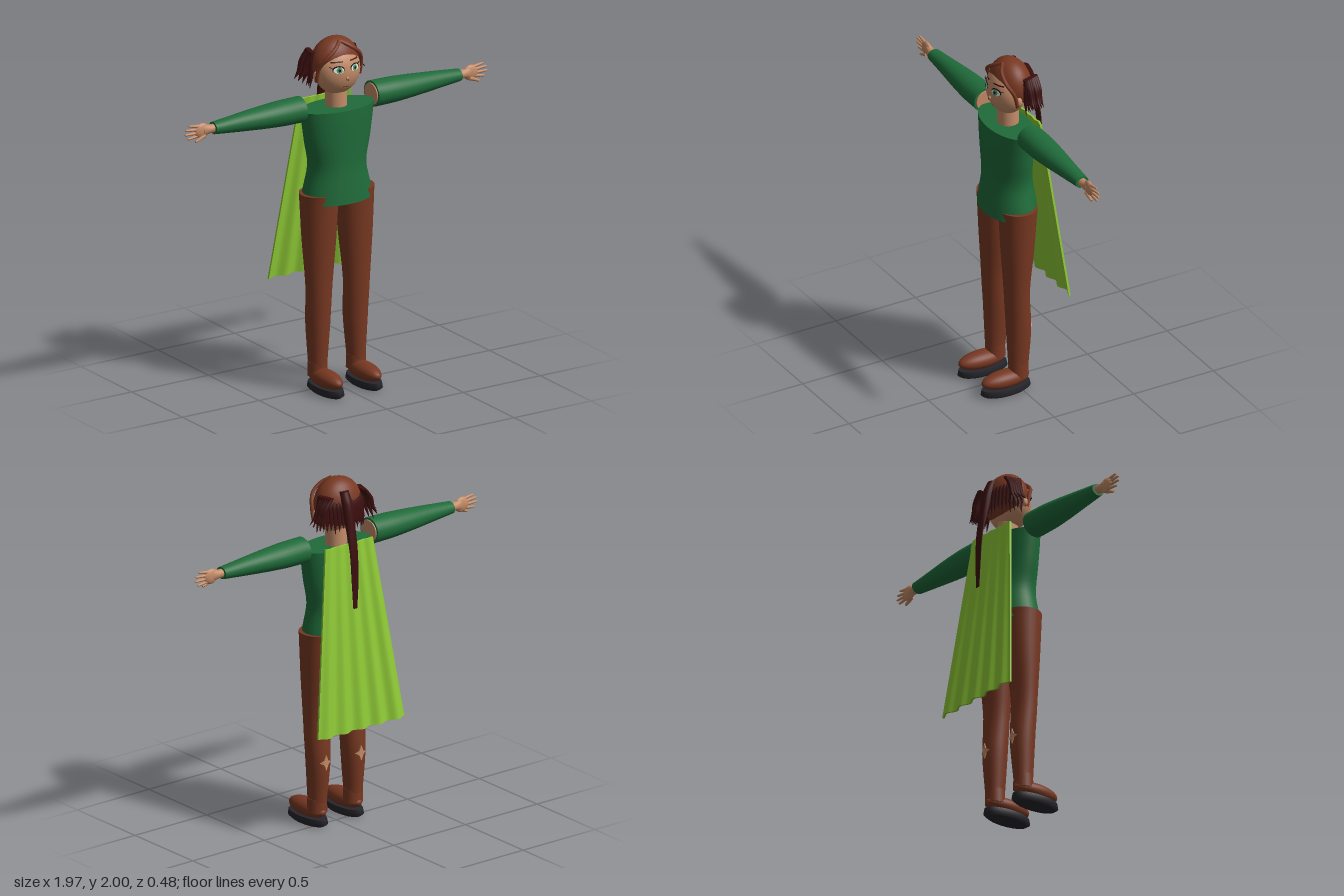
import * as THREE from 'three';

const mat = (name, color, double = false) => {
  const m = new THREE.MeshStandardMaterial({ color });
  m.name = name;
  if (double) m.side = THREE.DoubleSide;
  return m;
};

// Closed skin through elliptical sections [y, cx, cz, rx, rz], y increasing
function loft(sections, sides = 28, smooth = true) {
  let rows = sections;
  if (smooth) {
    const pos = new THREE.CatmullRomCurve3(sections.map(s => new THREE.Vector3(s[1], s[0], s[2])));
    const rad = new THREE.CatmullRomCurve3(sections.map(s => new THREE.Vector3(s[3], 0, s[4])));
    const n = (sections.length - 1) * 4;
    rows = Array.from({ length: n + 1 }, (_, i) => {
      const p = pos.getPoint(i / n), r = rad.getPoint(i / n);
      return [p.y, p.x, p.z, r.x, r.z];
    });
  }
  const v = [], idx = [];
  const ring = ([y, cx, cz, rx, rz]) => {
    const start = v.length / 3;
    for (let i = 0; i < sides; i++) {
      const a = i / sides * Math.PI * 2;
      v.push(cx + rx * Math.cos(a), y, cz + rz * Math.sin(a));
    }
    return start;
  };
  const starts = rows.map(ring);
  for (let j = 0; j < rows.length - 1; j++) for (let i = 0; i < sides; i++) {
    const k = (i + 1) % sides, a = starts[j], b = starts[j + 1];
    idx.push(a + i, b + i, a + k, b + i, b + k, a + k);
  }
  for (const [row, top] of [[rows[0], false], [rows[rows.length - 1], true]]) {
    const s = ring(row), c = v.length / 3;
    v.push(row[1], row[0], row[2]);
    for (let i = 0; i < sides; i++) {
      const k = (i + 1) % sides;
      if (top) idx.push(c, s + k, s + i); else idx.push(c, s + i, s + k);
    }
  }
  const g = new THREE.BufferGeometry();
  g.setAttribute('position', new THREE.Float32BufferAttribute(v, 3));
  g.setIndex(idx);
  g.computeVertexNormals();
  return g;
}

const ball = (x, y, z, rx, ry, rz) => new THREE.SphereGeometry(1, 36, 24).scale(rx, ry, rz).translate(x, y, z);

// Tapered limb between two points
function rod(a, b, r0, r1) {
  const p = new THREE.Vector3(...a), d = new THREE.Vector3(...b).sub(p);
  const g = new THREE.CylinderGeometry(r1, r0, d.length(), 10).translate(0, d.length() / 2, 0);
  g.applyQuaternion(new THREE.Quaternion().setFromUnitVectors(new THREE.Vector3(0, 1, 0), d.normalize()));
  return g.translate(...a);
}

// Front surface of the head, for laying features onto the face
const faceZ = (x, y) => 0.01 + 0.105 * Math.sqrt(Math.max(0, 1 - (x / 0.135) ** 2 - ((y - 1.82) / 0.14) ** 2));
function onFace(g, lift) {
  const p = g.attributes.position;
  for (let i = 0; i < p.count; i++) p.setZ(i, faceZ(p.getX(i), p.getY(i)) + lift);
  g.computeVertexNormals();
  return g;
}

export function createModel() {
  const group = new THREE.Group();
  const skin = mat('skin', 0xc48c68), shirt = mat('green shirt', 0x1f6b3a), brown = mat('brown', 0x783822);
  const dark = mat('dark hair', 0x3c0e0e, true), lime = mat('lime cape', 0x8fca36), sole = mat('sole', 0x26262c);
  const white = mat('eye white', 0xf0f0ec, true), iris = mat('iris green', 0x4f9a70, true), black = mat('black', 0x18100e, true);
  const add = (name, g, m) => {
    const mesh = new THREE.Mesh(g, m);
    mesh.name = name;
    group.add(mesh);
  };

  // Torso and neck
  add('tunic', loft([
    [1.08, 0, 0.005, 0.214, 0.146], [1.15, 0, 0.005, 0.2, 0.14], [1.28, 0, 0.007, 0.174, 0.126],
    [1.42, 0, 0.01, 0.2, 0.122], [1.53, 0, 0.01, 0.217, 0.122], [1.61, 0, 0.01, 0.228, 0.12]], 40), shirt);
  add('neck', new THREE.CylinderGeometry(0.058, 0.06, 0.14, 24).translate(0, 1.66, 0), skin);

  // Head, hair cap
  add('head', ball(0, 1.82, 0.01, 0.135, 0.14, 0.105), skin);
  add('hairCap', ball(0, 1.855, -0.012, 0.143, 0.145, 0.108), brown);
  add('nose', ball(0, 1.79, 0.112, 0.009, 0.012, 0.01), skin);
  add('noseMark', onFace(new THREE.CircleGeometry(0.004, 10).translate(0, 1.785, 0), 0.011), black);
  add('mouth', onFace(new THREE.PlaneGeometry(0.035, 0.004, 6, 1).translate(0, 1.74, 0), 0.003), brown);

  for (const s of [1, -1]) {
    const side = s > 0 ? 'left' : 'right';

    // Face
    const disc = (x, y, rx, ry) => new THREE.CircleGeometry(1, 20).scale(rx, ry, 1).translate(s * x, y, 0);
    add(side + 'LashRim', onFace(disc(0.052, 1.847, 0.033, 0.021), 0.003), black);
    add(side + 'EyeWhite', onFace(disc(0.052, 1.844, 0.029, 0.018), 0.0045), white);
    add(side + 'Iris', onFace(disc(0.05, 1.844, 0.016, 0.017), 0.006), iris);
    add(side + 'Pupil', onFace(disc(0.05, 1.844, 0.007, 0.008), 0.0075), black);
    add(side + 'Brow', onFace(new THREE.PlaneGeometry(0.065, 0.007, 8, 1).translate(s * 0.055, 1.888, 0), 0.004), dark);
    for (let i = 0; i < 3; i++) {
      const x = 0.08 + i * 0.004, y = 1.853 + i * 0.003;
      add(side + 'Lash', rod([s * x, y, faceZ(x, y)], [s * (x + 0.014), y + 0.008, faceZ(x, y)], 0.002, 0.001), black);
    }
    add(side + 'Ear', ball(s * 0.138, 1.8, 0.01, 0.014, 0.026, 0.017), skin);

    // Parted lock framing the forehead
    const lock = new THREE.CatmullRomCurve3([[0, 1.985, 0.035], [0.05, 1.955, 0.068], [0.105, 1.91, 0.07],
      [0.137, 1.85, 0.04], [0.14, 1.77, 0.02]].map(p => new THREE.Vector3(s * p[0], p[1], p[2])));
    add(side + 'FrontLock', new THREE.TubeGeometry(lock, 20, 0.011, 8), brown);

    // Flared side bunch made of strands
    for (let i = 0; i < 12; i++) {
      const f = i / 11, w = (i * 5 % 12) / 11;
      const z0 = -0.03 - 0.075 * f, tipX = 0.165 + 0.057 * w, tipY = 1.735 + 0.045 * w;
      add(side + 'BunchStrand', loft([
        [tipY, s * tipX, z0 - 0.015 + 0.02 * w, 0.001, 0.001],
        [1.81, s * (0.15 + 0.035 * w), z0, 0.012, 0.009],
        [1.87, s * (0.145 + 0.014 * w), z0, 0.016, 0.012],
        [1.925, s * (0.135 - 0.02 * f), z0, 0.014, 0.012]], 7), dark);
    }

    // Sleeve, with the bare arm showing at both ends
    const alongX = g => {
      g.rotateZ(-Math.PI / 2).translate(0, 1.626, 0);
      return s > 0 ? g : g.rotateY(Math.PI);
    };
    add(side + 'Sleeve', alongX(loft([[0.232, 0, 0, 0.073, 0.077], [0.36, 0, 0, 0.071, 0.078], [0.5, 0, 0, 0.062, 0.069],
      [0.65, 0, 0, 0.049, 0.053], [0.8, 0, 0, 0.034, 0.04]])), shirt);
    add(side + 'ShoulderEnd', alongX(loft([[0.226, 0, 0, 0.06, 0.064], [0.25, 0, 0, 0.066, 0.07]], 28, false)), skin);
    add(side + 'Wrist', alongX(loft([[0.79, 0, 0, 0.024, 0.026], [0.83, 0, 0, 0.025, 0.024], [0.87, 0, 0, 0.036, 0.019]], 18)), skin);

    // Hand
    add(side + 'Palm', ball(s * 0.874, 1.625, 0, 0.048, 0.043, 0.018), skin);
    [[1.654, 1.664, 0.952], [1.636, 1.643, 0.974], [1.618, 1.618, 0.978], [1.601, 1.592, 0.96]].forEach(([y0, y1, x]) => {
      add(side + 'Finger', rod([s * 0.895, y0, 0], [s * x, y1, 0], 0.01, 0.006), skin);
      add(side + 'Fingertip', ball(s * x, y1, 0, 0.007, 0.006, 0.006), skin);
    });
    add(side + 'Thumb', rod([s * 0.86, 1.598, 0.008], [s * 0.922, 1.573, 0.012], 0.013, 0.007), skin);

    // Trouser leg with a worn patch on the calf
    add(side + 'TrouserLeg', loft([
      [0.14, s * 0.125, 0.008, 0.05, 0.056], [0.38, s * 0.122, 0.005, 0.068, 0.07], [0.6, s * 0.122, 0.016, 0.076, 0.07],
      [0.88, s * 0.118, 0.01, 0.098, 0.092], [1.13, s * 0.116, 0.006, 0.11, 0.108]]), brown);
    const patch = new THREE.Shape([[-0.035, 0], [-0.015, -0.012], [0, -0.045], [0.012, -0.014], [0.035, 0], [0.014, 0.012],
      [0, 0.045], [-0.013, 0.013]].map(p => new THREE.Vector2(...p)));
    const pg = new THREE.ExtrudeGeometry(patch, { depth: 0.009, bevelEnabled: false });
    const pp = pg.attributes.position;
    for (let i = 0; i < pp.count; i++) {
      const x = pp.getX(i);
      pp.setZ(i, 0.005 - 0.07 * Math.sqrt(1 - (x / 0.068) ** 2) - 0.005 + pp.getZ(i));
    }
    pg.computeVertexNormals();
    add(side + 'CalfPatch', pg.translate(s * 0.122, 0.38, 0), skin);

    // Shoe
    add(side + 'Ankle', new THREE.CylinderGeometry(0.054, 0.056, 0.08, 24).translate(s * 0.125, 0.12, 0.008), brown);
    add(side + 'Shoe', ball(s * 0.125, 0.082, 0.09, 0.06, 0.05, 0.145), brown);
    add(side + 'Sole', loft([[0, s * 0.125, 0.088, 0.055, 0.13], [0.015, s * 0.125, 0.088, 0.07, 0.152],
      [0.045, s * 0.125, 0.088, 0.064, 0.146]], 32, false), sole);
  }

  // Fringe of strands round the back of the head
  for (let i = 0; i < 19; i++) {
    const a = Math.PI * (0.04 + 0.92 * i / 18), c = Math.cos(a), n = -Math.sin(a);
    const tip = 1.715 + 0.025 * (i * 7 % 5) / 4;
    add('backStrand', loft([
      [tip, c * 0.155, n * 0.125 - 0.01, 0.001, 0.001], [1.79, c * 0.146, n * 0.116 - 0.01, 0.014, 0.008],
      [1.86, c * 0.143, n * 0.108 - 0.01, 0.016, 0.009], [1.9, c * 0.128, n * 0.095 - 0.01, 0.012, 0.008]], 7), dark);
  }

  // Long ponytail
  add('ponytail', loft([
    [1.29, 0.02, -0.192, 0.014, 0.002], [1.45, 0.02, -0.19, 0.024, 0.003], [1.62, 0.02, -0.178, 0.028, 0.009],
    [1.75, 0.02, -0.15, 0.03, 0.02], [1.88, 0.02, -0.118, 0.032, 0.03], [1.945, 0.02, -0.09, 0.028, 0.028]], 14), dark);

  // Flared cape with folds deepening toward the hem
  const cape = new THREE.BoxGeometry(1, 1, 0.012, 60, 12, 1);
  const p = cape.attributes.position;
  for (let i = 0; i < p.count; i++) {
    const u = p.getX(i) * 2, t = 0.5 - p.getY(i);
    const fold = (0.003 + 0.009 * t) * Math.cos(u * Math.PI * 5);
    p.setXYZ(i, u * (0.165 + 0.135 * t), 1.64 - 1.04 * t, p.getZ(i) - 0.113 - 0.113 * t - fold);
  }
  cape.computeVertexNormals();
  add('cape', cape, lime);

  return group;
}
